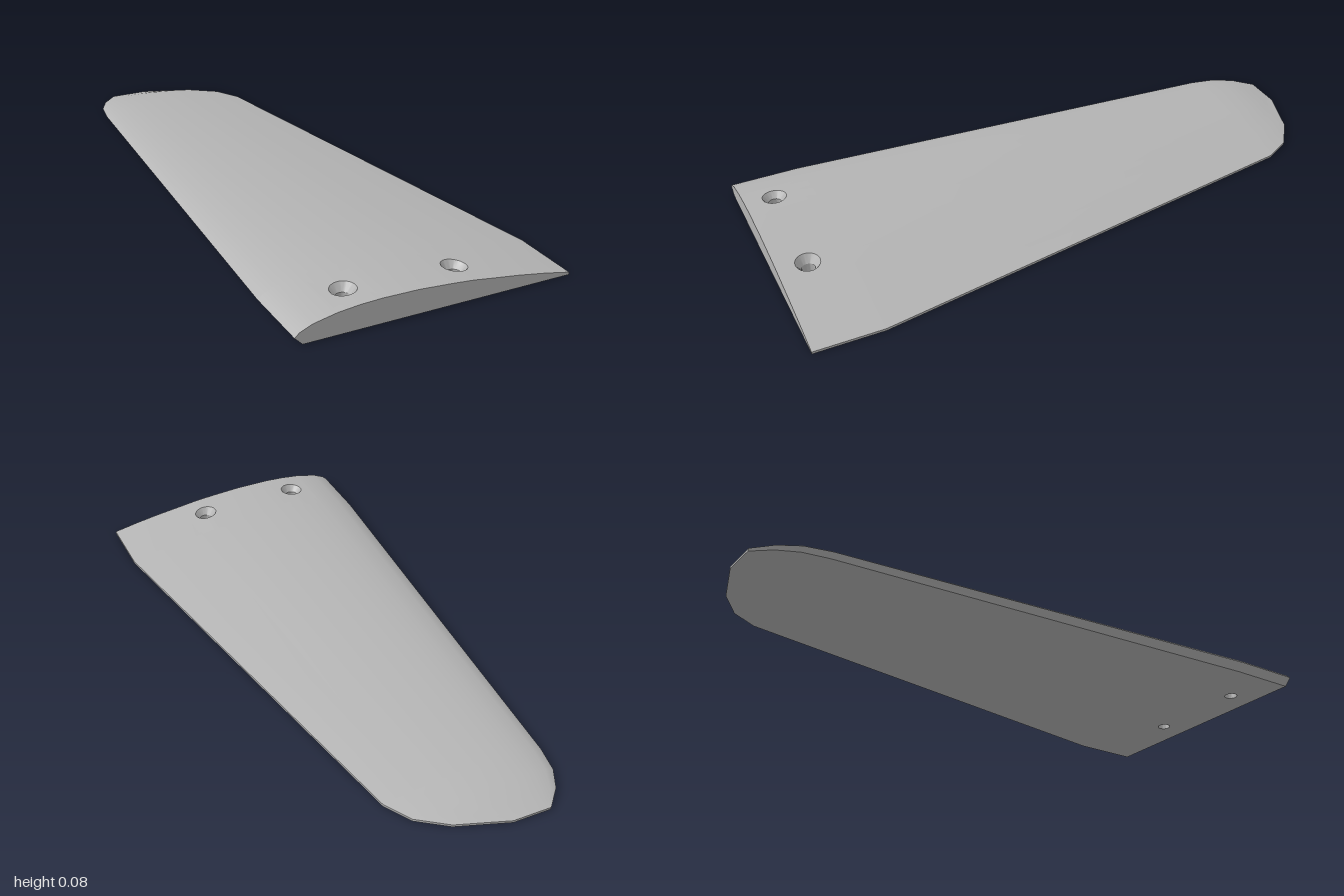
import * as THREE from 'three';
import { toCreasedNormals } from 'three/addons/utils/BufferGeometryUtils.js';

// Root aerofoil, upper side from nose to tail: [x, y]
const PROFILE = [
  [-0.455, 0.025], [-0.44, 0.038], [-0.4, 0.055], [-0.325, 0.0705], [-0.255, 0.0775],
  [-0.185, 0.08], [-0.07, 0.078], [0.04, 0.07], [0.11, 0.0635], [0.18, 0.0535],
  [0.27, 0.041], [0.36, 0.026], [0.45, 0.008],
];
const X0 = -0.455, X1 = 0.45, EDGE = 0.008;

// Spanwise sections: [z, nose x, tail x, thickness scale]
const SECTIONS = [
  [1, X0, X1, 1], [0.77, X0, X1, 1], [-0.78, -0.365, 0.185, 0.47],
  [-0.87, -0.35, 0.135, 0.37], [-0.94, -0.315, 0.04, 0.22], [-1, -0.26, -0.13, 0],
];

// Countersunk screw holes in the root
const HOLES = [-0.255, 0.11], HOLE_Z = 0.9, HALF = 0.07, R_IN = 0.022, R_OUT = 0.04;

function topHeight(x) {
  let i = 0;
  while (i < PROFILE.length - 2 && x > PROFILE[i + 1][0]) i++;
  const [xa, ya] = PROFILE[i], [xb, yb] = PROFILE[i + 1];
  return ya + (yb - ya) * (x - xa) / (xb - xa);
}

// Closed section loop: over the top, down the tail, back along the flat bottom
function sectionLoop([z, nose, tail, scale]) {
  const px = (x) => nose + (tail - nose) * (x - X0) / (X1 - X0);
  const loop = PROFILE.map(([x, y]) => [px(x), EDGE + (y - EDGE) * scale, z]);
  loop.push([tail, 0, z], [px(-0.43), 0, z]);
  return loop;
}

function buildBlade() {
  const pos = [];
  const tri = (a, b, c) => pos.push(...a, ...b, ...c);
  const quad = (a, b, c, d) => { tri(a, b, c); tri(a, c, d); };
  const inHole = (x) => HOLES.some((h) => Math.abs(x - h) < HALF);

  // Skin between sections, leaving out the hole columns at the root
  const loops = SECTIONS.map(sectionLoop);
  const n = loops[0].length;
  for (let i = 0; i < loops.length - 1; i++) {
    const a = loops[i], b = loops[i + 1];
    for (let j = 0; j < n; j++) {
      const k = (j + 1) % n;
      const upper = j < PROFILE.length - 1;
      if (i === 0 && upper && inHole((a[j][0] + a[k][0]) / 2)) continue;
      if (i === 0 && j === n - 2) continue;
      quad(a[j], a[k], b[k], b[j]);
    }
  }

  // Flat bottom of the root, between the holes
  const zf = SECTIONS[0][0], zb = SECTIONS[1][0];
  const cuts = [-0.43, ...HOLES.flatMap((h) => [h - HALF, h + HALF]), X1];
  for (let i = 0; i < cuts.length; i += 2) {
    const l = cuts[i], r = cuts[i + 1];
    quad([r, 0, zf], [l, 0, zf], [l, 0, zb], [r, 0, zb]);
  }

  // Root and tip end faces
  const root = loops[0], tip = loops[loops.length - 1];
  for (let j = 0; j < n - 2; j++) {
    tri(root[n - 1], root[j + 1], root[j]);
    tri(tip[n - 1], tip[j], tip[j + 1]);
  }

  // Each hole: chain of rings from bottom skin, up the bore and cone, to top skin
  const N = 32;
  for (const cx of HOLES) {
    const coneBase = topHeight(cx) - 0.025;
    const ring = (make) => Array.from({ length: N }, (_, i) => {
      const t = i / N * Math.PI * 2;
      return make(Math.cos(t), Math.sin(t));
    });
    const circle = (r, y) => ring((c, s) => [cx + r * c, y ?? topHeight(cx + r * c), HOLE_Z + r * s]);
    // Blend from the rim circle (f = 0) to the column rectangle (f = 1)
    const patch = (f, r, flat) => ring((c, s) => {
      const m = Math.max(Math.abs(c), Math.abs(s));
      const x = cx + THREE.MathUtils.lerp(r * c, HALF * c / m, f);
      const depth = s > 0 ? zf - HOLE_Z : HOLE_Z - zb;
      const z = HOLE_Z + THREE.MathUtils.lerp(r * s, depth * s / m, f);
      return [x, flat ? 0 : topHeight(x), z];
    });
    const rings = [
      patch(1, R_IN, true), circle(R_IN, 0), circle(R_IN, coneBase), circle(R_OUT),
      patch(0.5, R_OUT, false), patch(1, R_OUT, false),
    ];
    for (let i = 0; i < rings.length - 1; i++) {
      for (let j = 0; j < N; j++) {
        const k = (j + 1) % N;
        quad(rings[i][j], rings[i][k], rings[i + 1][k], rings[i + 1][j]);
      }
    }
  }

  const geo = new THREE.BufferGeometry();
  geo.setAttribute('position', new THREE.Float32BufferAttribute(pos, 3));
  return toCreasedNormals(geo, 0.5);
}

export function createModel() {
  const grey = new THREE.MeshStandardMaterial({ color: 0xb4b4b4 });
  grey.name = 'grey';
  const blade = new THREE.Mesh(buildBlade(), grey);
  blade.name = 'blade';
  const group = new THREE.Group();
  group.name = 'bladeWithScrewHoles';
  group.add(blade);
  return group;
}
